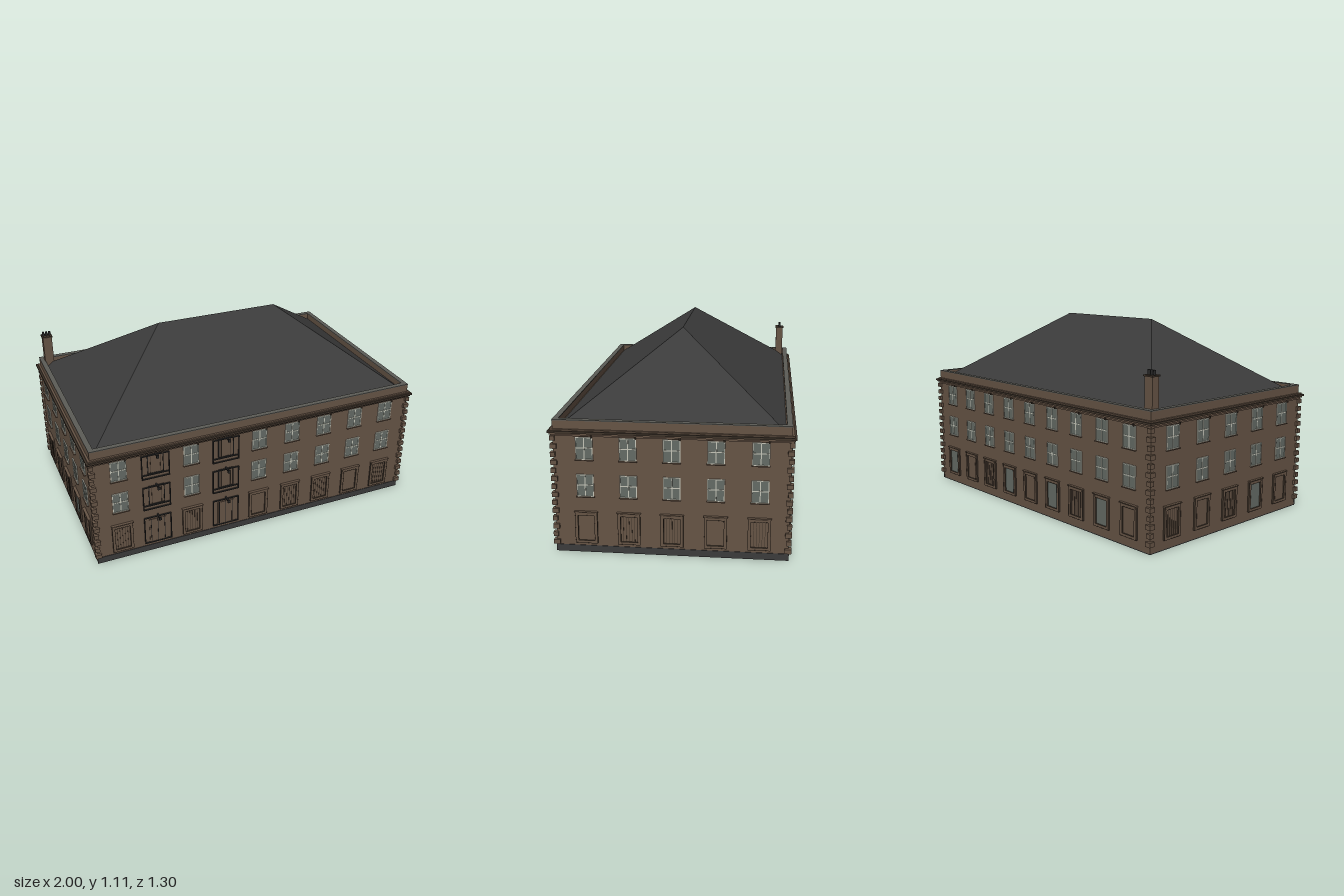
import * as THREE from 'three';

const paint = (name, color) => {
  const m = new THREE.MeshStandardMaterial({ color });
  m.name = name;
  return m;
};

export function createModel() {
  const brick = paint('brown brick', 0x665445);
  const line = paint('dark brown joint', 0x40352b);
  const slate = paint('dark slate', 0x3b3b3b);
  const glass = paint('grey glass', 0x646b65);
  const white = paint('pale window frame', 0xc4c5b8);
  const iron = paint('black iron', 0x262626);
  const lead = paint('grey coping', 0x5c5c57);

  const model = new THREE.Group();
  model.name = 'building';
  const HX = 0.977, HZ = 0.6125, CZ = -0.015;

  function box(parent, name, mat, w, h, d, x, y, z) {
    const m = new THREE.Mesh(new THREE.BoxGeometry(w, h, d), mat);
    m.name = name;
    m.position.set(x, y, z);
    parent.add(m);
    return m;
  }

  // Four thin bars around a rectangle, standing out from the wall
  function frame(parent, name, mat, w, h, t, d, x, y, z) {
    for (const s of [-1, 1]) {
      box(parent, name, mat, t, h, d, x + s * (w - t) / 2, y, z);
      box(parent, name, mat, w - 2 * t, t, d, x, y + s * (h - t) / 2, z);
    }
  }

  // Rectangular ring running round the building
  function ring(name, mat, out, inset, y0, y1) {
    const rect = (C, e) => {
      const p = new C(), a = HX + e, b = HZ + e;
      p.moveTo(-a, -b); p.lineTo(a, -b); p.lineTo(a, b); p.lineTo(-a, b); p.closePath();
      return p;
    };
    const shape = rect(THREE.Shape, out);
    shape.holes.push(rect(THREE.Path, -inset));
    const g = new THREE.ExtrudeGeometry(shape, { depth: y1 - y0, bevelEnabled: false });
    g.rotateX(-Math.PI / 2);
    const m = new THREE.Mesh(g, mat);
    m.name = name;
    m.position.set(0, y0, CZ);
    model.add(m);
  }

  // Body, base and plinth
  box(model, 'walls', brick, HX * 2, 0.685, HZ * 2, 0, 0.3475, CZ);
  box(model, 'base', slate, HX * 2, 0.005, HZ * 2, 0, 0.0025, CZ);
  box(model, 'frontPlinth', slate, HX * 2 + 0.004, 0.038, 0.006, 0, 0.019, CZ + HZ);
  box(model, 'rightPlinth', slate, 0.006, 0.038, HZ * 2 + 0.004, HX, 0.019, CZ);

  // Cornice mouldings, parapet and coping
  ring('lowerMoulding', brick, 0.008, 0.01, 0.646, 0.655);
  ring('corniceBed', brick, 0.015, 0.01, 0.655, 0.664);
  ring('cornice', line, 0.023, 0.01, 0.664, 0.675);
  ring('corniceTop', brick, 0.012, 0.01, 0.675, 0.682);
  ring('parapet', brick, 0, 0.026, 0.68, 0.726);
  ring('coping', lead, 0.001, 0.028, 0.726, 0.731);

  // Hipped roof
  const rx = 0.955, rz = 0.587, rr = 0.37, y0 = 0.687, y1 = 1.11;
  const A = [-rx, y0, rz], B = [rx, y0, rz], C = [rx, y0, -rz], D = [-rx, y0, -rz];
  const L = [-rr, y1, 0], R = [rr, y1, 0];
  const faces = [A, B, R, A, R, L, C, D, L, C, L, R, B, C, R, D, A, L];
  const rg = new THREE.BufferGeometry();
  rg.setAttribute('position', new THREE.Float32BufferAttribute(faces.flat(), 3));
  rg.computeVertexNormals();
  const roof = new THREE.Mesh(rg, slate);
  roof.name = 'roof';
  roof.position.z = CZ;
  model.add(roof);

  // Corner quoins, alternating in length
  for (const sx of [-1, 1]) for (const sz of [-1, 1]) for (let i = 0; i < 14; i++) {
    const s = i % 2 ? 0.026 : 0.034;
    box(model, 'quoin', brick, s, 0.025, s,
      sx * (HX + 0.013 - s / 2), 0.055 + i * 0.0445, CZ + sz * (HZ + 0.014 - s / 2));
  }

  // Sash window with four panes
  function sash(f, x, y) {
    box(f, 'windowPane', glass, 0.088, 0.12, 0.004, x, y, 0.001);
    frame(f, 'windowFrame', white, 0.09, 0.122, 0.004, 0.008, x, y, 0.002);
    box(f, 'windowBar', white, 0.005, 0.118, 0.006, x, y, 0.002);
    box(f, 'windowBar', white, 0.084, 0.005, 0.006, x, y + 0.003, 0.002);
    box(f, 'windowSill', brick, 0.096, 0.005, 0.014, x, y - 0.063, 0.005);
  }

  // Ground floor opening: p plain, s slatted, g glazed
  function door(f, x, type) {
    const y = 0.14;
    box(f, 'doorPanel', type === 'g' ? glass : brick, 0.085, 0.16, 0.004, x, y - 0.003, 0.001);
    frame(f, 'doorSurround', brick, 0.118, 0.172, 0.014, 0.012, x, y, 0.004);
    frame(f, 'doorOutline', line, 0.119, 0.173, 0.002, 0.0125, x, y, 0.0045);
    frame(f, 'doorInnerLine', line, 0.091, 0.146, 0.002, 0.0125, x, y, 0.0045);
    if (type === 's') for (let i = -2; i <= 2; i++)
      box(f, 'doorSlat', line, 0.0025, 0.142, 0.008, x + i * 0.015, y, 0.001);
    box(f, 'doorHood', brick, 0.126, 0.005, 0.018, x, 0.231, 0.007);
    for (const s of [-1, 1])
      box(f, 'hoodBracket', brick, 0.008, 0.012, 0.012, x + s * 0.05, 0.222, 0.005);
  }

  // Balcony front with a tall door, iron rails and a lamp arm
  function ironBay(f, x, top, ground) {
    const bottom = ground ? 0.055 : top - 0.15;
    if (ground) {
      box(f, 'bayDoor', brick, 0.1, 0.155, 0.004, x, 0.135, 0.001);
      for (const i of [-2, 0, 2])
        box(f, 'bayDoorLine', iron, 0.003, 0.15, 0.007, x + i * 0.02, 0.14, 0.002);
    } else {
      box(f, 'bayDoor', brick, 0.09, 0.12, 0.004, x, top - 0.058, 0.001);
      frame(f, 'bayDoorFrame', iron, 0.092, 0.122, 0.004, 0.008, x, top - 0.058, 0.002);
      for (const s of [-1, 1])
        box(f, 'bayDoorLine', line, 0.0025, 0.114, 0.007, x + s * 0.028, top - 0.058, 0.002);
      box(f, 'balconyRail', iron, 0.156, 0.004, 0.01, x, bottom + 0.026, 0.004);
    }
    frame(f, 'balconyFrame', iron, 0.16, top - bottom, 0.004, 0.01, x, (top + bottom) / 2, 0.004);
    box(f, 'lampArm', iron, 0.008, 0.008, 0.046, x, top + 0.008, 0.023);
    box(f, 'lampHead', iron, 0.014, 0.018, 0.009, x, top + 0.008, 0.047);
  }

  // One wall with its rows of openings
  function facade(name, doors, pitch, angle, px, pz, bays = []) {
    const f = new THREE.Group();
    f.name = name;
    f.rotation.y = angle;
    f.position.set(px, 0, pz);
    [...doors].forEach((type, i) => {
      const x = (i - (doors.length - 1) / 2) * pitch;
      if (bays.includes(i)) {
        ironBay(f, x, 0.637, false);
        ironBay(f, x, 0.434, false);
        ironBay(f, x, 0.23, true);
      } else {
        sash(f, x, 0.58);
        sash(f, x, 0.377);
        door(f, x, type);
      }
      box(f, 'corniceBracket', line, 0.008, 0.012, 0.016, x + pitch * 0.18, 0.646, 0.006);
    });
    model.add(f);
  }
  facade('frontFacade', 'spsspssps', 0.207, 0, 0, CZ + HZ, [1, 3]);
  facade('rightSideFacade', 'pssps', 0.227, Math.PI / 2, HX, -0.02);
  facade('backFacade', 'gpsgpgsgp', 0.207, Math.PI, 0, CZ - HZ);
  facade('leftSideFacade', 'spsgp', 0.227, -Math.PI / 2, -HX, -0.02);

  // Chimney stack with three pots
  const cx = -0.925, cz = -0.573;
  box(model, 'chimney', brick, 0.055, 0.21, 0.046, cx, 0.785, cz);
  box(model, 'chimneyCap', line, 0.063, 0.008, 0.056, cx, 0.893, cz);
  for (const i of [-1, 0, 1]) {
    const pot = new THREE.Mesh(new THREE.CylinderGeometry(0.007, 0.008, 0.026, 10), iron);
    pot.name = 'chimneyPot';
    pot.position.set(cx + i * 0.019, 0.909, cz);
    model.add(pot);
  }
  return model;
}
